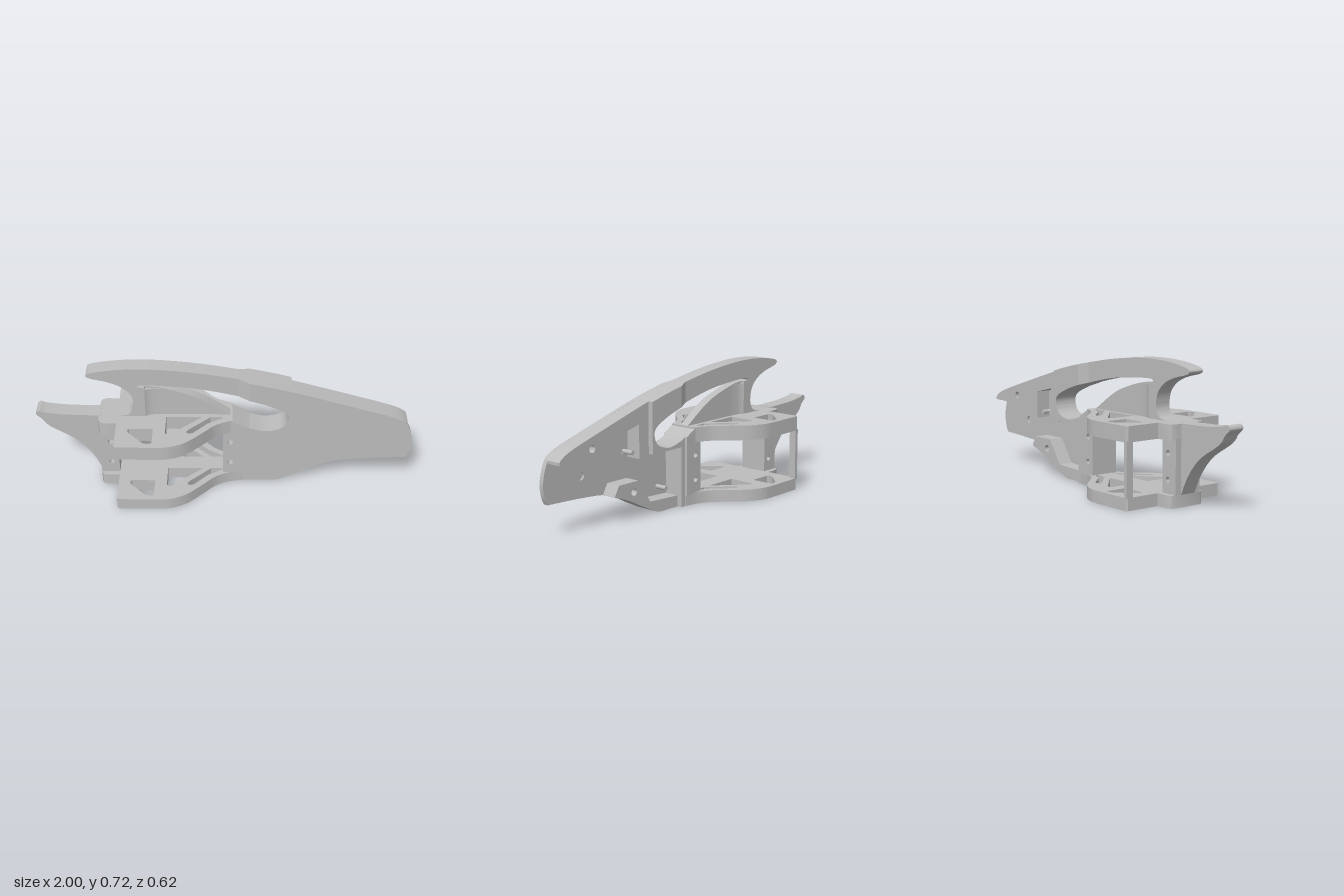
import * as THREE from 'three';
import { toCreasedNormals } from 'three/addons/utils/BufferGeometryUtils.js';

const grey = new THREE.MeshStandardMaterial({ color: 0xbcbcbc });
grey.name = 'grey plastic';

// smooth run of points through a few control points
const curve = (pts, n = 32) =>
  new THREE.SplineCurve(pts.map(p => new THREE.Vector2(...p))).getPoints(n).map(v => [v.x, v.y]);
const reversed = pts => pts.slice().reverse();

// closed shape, always counter-clockwise so that hole walls face outwards
function outline(pts, holes = []) {
  const corners = pts.map(p => new THREE.Vector2(...p));
  if (THREE.ShapeUtils.isClockWise(corners)) corners.reverse();
  const s = new THREE.Shape(corners);
  for (const h of holes) {
    const path = new THREE.Path();
    if (h.r) path.absarc(h.x, h.y, h.r, 0, Math.PI * 2, true);
    else path.setFromPoints(h.map(p => new THREE.Vector2(...p)));
    s.holes.push(path);
  }
  return s;
}

const extrude = (shape, depth) =>
  new THREE.ExtrudeGeometry(shape, { depth, bevelEnabled: false, curveSegments: 8 });

export function createModel() {
  const model = new THREE.Group();
  const add = (name, geo) => {
    const m = new THREE.Mesh(toCreasedNormals(geo, 0.5), grey);
    m.name = name;
    model.add(m);
  };
  // slab with a profile in x/y, running from z0 to z1
  const slab = (name, pts, z0, z1, holes) =>
    add(name, extrude(outline(pts, holes), z1 - z0).translate(0, 0, z0));
  // slab with a profile in x/-z, running from y0 to y1
  const layer = (name, pts, y0, y1, holes) =>
    add(name, extrude(outline(pts, holes), y1 - y0).rotateX(-Math.PI / 2).translate(0, y0, 0));
  const flip = pts => pts.map(([x, y]) => [x, -y]).reverse();

  // shared edge curves
  const slotTopRear = curve([[-0.46, 0.605], [-0.42, 0.62], [-0.2, 0.605], [-0.06, 0.583], [0.07, 0.553]]);
  const slotFront = curve([[0.13, 0.538], [0.22, 0.51], [0.315, 0.465], [0.335, 0.42], [0.305, 0.365],
    [0.22, 0.34], [0.13, 0.36]], 48);
  const belly = curve([[0.26, 0], [0.3, 0.01], [0.4, 0.057], [0.5, 0.108], [0.6, 0.143], [0.7, 0.155]]);
  const crest = curve([[0.13, 0.65], [0.35, 0.598], [0.6, 0.525], [0.88, 0.44], [0.957, 0.402]]);

  // upper beam and neck
  slab('upperBeam', [
    ...curve([[0.07, 0.663], [-0.1, 0.692], [-0.25, 0.71], [-0.4, 0.72], [-0.55, 0.716], [-0.68, 0.698],
      [-0.72, 0.68], [-0.7, 0.66], [-0.61, 0.637], [-0.54, 0.605], [-0.495, 0.56], [-0.48, 0.51],
      [-0.482, 0.465], [-0.51, 0.428], [-0.57, 0.418]], 80),
    [-0.42, 0.418], [-0.42, 0.602], ...slotTopRear,
  ], -0.045, 0.045);

  // thinner web under the slot, blended into the neck by concave fillets
  slab('web', [
    [-0.42, 0.418],
    ...curve([[0.03, 0.418], [-0.12, 0.515], [-0.23, 0.56], [-0.34, 0.59], [-0.42, 0.602]]),
  ], -0.025, 0.025);
  const fillet = [[-0.42, 0.02], ...curve([[-0.42, 0.045], [-0.4, 0.034], [-0.37, 0.028], [-0.33, 0.025]], 12), [-0.33, 0.02]];
  layer('webFillet', fillet, 0.418, 0.587);
  layer('webFillet', flip(fillet), 0.418, 0.587);

  // tail fin
  slab('tailFin', [
    [-0.66, 0.06], [-0.66, 0.42],
    ...curve([[-0.7, 0.42], [-0.85, 0.425], [-0.95, 0.437], [-0.985, 0.447], [-1, 0.425], [-0.97, 0.395],
      [-0.93, 0.345], [-0.8, 0.26], [-0.72, 0.165], [-0.67, 0.065]], 48),
  ], -0.045, 0.045);

  // tapered joint widening from the beam into the body
  const joint = extrude(outline([[0.07, 0.663], [0.07, 0.553], [0.13, 0.538], [0.13, 0.65]]), 1);
  const jp = joint.attributes.position;
  for (let i = 0; i < jp.count; i++) {
    const half = jp.getX(i) < 0.1 ? 0.045 : 0.068;
    jp.setZ(i, jp.getZ(i) > 0.5 ? half : -half);
  }
  add('beamJoint', joint);

  // body side plate: solid skin plus a lining with a blind hole
  const side = [
    ...crest,
    ...curve([[0.965, 0.392], [0.985, 0.345], [1, 0.275], [0.992, 0.21], [0.975, 0.17]]),
    [0.8, 0.162], ...reversed(belly), [0.13, 0], ...reversed(slotFront),
  ];
  slab('sideSkin', side, 0.055, 0.068);
  slab('sideLining', side, 0.043, 0.055, [{ x: 0.75, y: 0.27, r: 0.02 }]);

  // raised frame around the front of the slot
  slab('slotFrame', [
    ...curve([[0.13, 0.65], [0.24, 0.626], [0.35, 0.598]], 8),
    [0.35, 0.325], [0.13, 0.325], ...reversed(slotFront),
  ], -0.068, 0.043);

  // upper rim of the open back, with a notch below and a screw hole
  slab('upperRim', [
    ...curve([[0.35, 0.598], [0.6, 0.525], [0.88, 0.44], [0.957, 0.402]]), [0.968, 0.39],
    ...curve([[0.968, 0.375], [0.86, 0.37], [0.75, 0.335], [0.65, 0.312], [0.55, 0.31]]),
    [0.55, 0.46], [0.42, 0.49], [0.42, 0.31], [0.35, 0.31],
  ], -0.04, 0.043, [{ x: 0.75, y: 0.42, r: 0.02 }]);

  // lower rim with raised screw block
  slab('lowerRim', [
    [0.13, 0], ...belly.slice(0, 26), [0.6, 0.145], [0.57, 0.2], [0.43, 0.2], [0.34, 0.07], [0.13, 0.06],
  ], -0.04, 0.043, [{ x: 0.46, y: 0.145, r: 0.02 }]);

  slab('bodyWall', [[0.1, 0], [0.13, 0], [0.13, 0.36], [0.1, 0.376]], -0.068, 0.068);

  // locating pins inside the body
  for (const [x, y] of [[0.45, 0.345], [0.52, 0.345], [0.2, 0.11]]) {
    add('pin', new THREE.CylinderGeometry(0.012, 0.012, 0.07, 16).rotateX(Math.PI / 2).translate(x, y, 0.012));
  }

  // drilled posts between the decks
  const drill = x => [{ x, y: 0.27, r: 0.015 }, { x, y: 0.135, r: 0.015 }];
  slab('rearPost', [[-0.668, 0.06], [-0.57, 0.06], [-0.57, 0.345], [-0.668, 0.345]], -0.08, 0.08, drill(-0.61));
  slab('frontPost', [[-0.01, 0.06], [0.1, 0.06], [0.1, 0.376], [0.04, 0.41], [-0.01, 0.41]],
    -0.08, 0.08, drill(0.03));
  slab('cornerPost', [[-0.57, 0.06], [-0.55, 0.06], [-0.55, 0.345], [-0.57, 0.345]], -0.31, -0.27);

  // decks with lightening cut-outs, mirrored across the centre line
  const cutouts = [
    [[-0.375, 0.155], [-0.5, 0.155], [-0.51, 0.165], [-0.505, 0.185], [-0.42, 0.275], [-0.385, 0.28], [-0.375, 0.27]],
    [[-0.31, 0.05], [-0.31, 0.19], [-0.3, 0.2], [-0.28, 0.195], [-0.12, 0.05]],
    [[-0.075, 0.05], [-0.19, 0.16], [-0.2, 0.18], [-0.185, 0.192], [-0.165, 0.185], [-0.09, 0.105], [-0.015, 0.062], [-0.012, 0.05]],
  ];
  const holes = [...cutouts, ...cutouts.map(flip)];
  const deck = (name, y0, y1, end) => {
    const half = [
      [-0.668, 0.08], [-0.66, 0.1], [-0.64, 0.11], [-0.57, 0.11], [-0.57, 0.3], [-0.56, 0.31],
      ...curve([[-0.35, 0.31], [-0.28, 0.303], [-0.2, 0.265], [-0.12, 0.19], [-0.05, 0.12], [0.02, 0.085], end]),
    ];
    layer(name, [...half, ...flip(half)], y0, y1, holes);
  };
  deck('lowerDeck', 0, 0.065, [0.1, 0.07]);
  deck('upperDeck', 0.338, 0.418, [0.04, 0.08]);

  return model;
}
